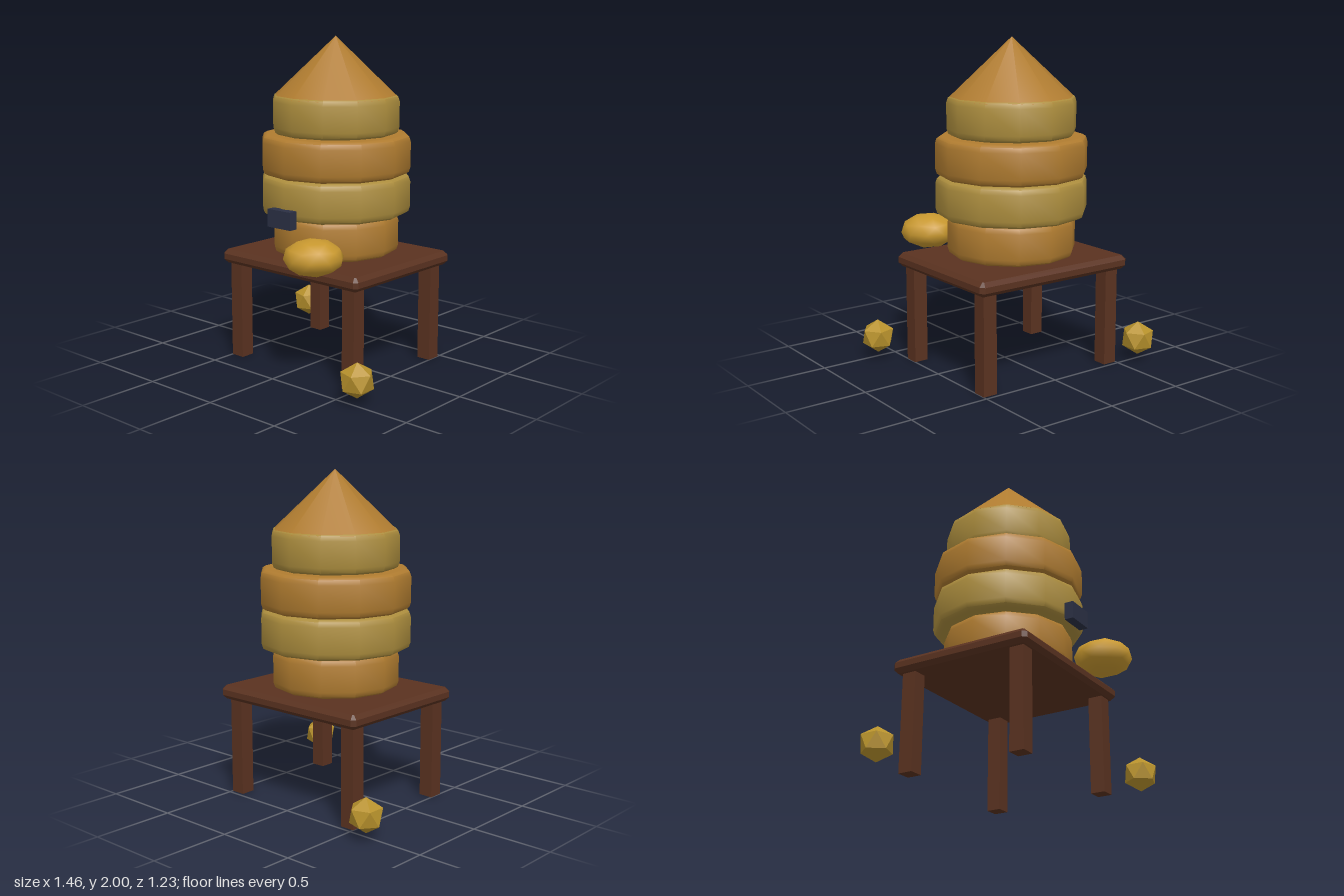
import * as THREE from 'three';
import { toCreasedNormals } from 'three/addons/utils/BufferGeometryUtils.js';

const HIVE_Z = -0.07;

const paint = (color, flatShading = false) => new THREE.MeshStandardMaterial({ color, flatShading });

function add(parent, name, geometry, material, x = 0, y = 0, z = 0) {
  const mesh = new THREE.Mesh(geometry, material);
  mesh.name = name;
  mesh.position.set(x, y, z);
  parent.add(mesh);
  return mesh;
}

// Twelve-sided drum with softly bevelled rims
function ringGeometry(r, h) {
  const half = [[0, 0], [r - 0.05, 0], [r - 0.03, 0], [r - 0.01, 0.012], [r, 0.042]];
  const profile = [...half, ...half.map(([x, y]) => [x, h - y]).reverse()];
  const lathe = new THREE.LatheGeometry(profile.map(([x, y]) => new THREE.Vector2(x, y)), 12);
  return toCreasedNormals(lathe, 0.75);
}

// Slab with every edge and corner chamfered
function slabGeometry(w, h, d, c) {
  const x = w / 2 - c, z = d / 2 - c, k = 0.008;
  const shape = new THREE.Shape([
    [x - k, -z], [x, -z + k], [x, z - k], [x - k, z],
    [-x + k, z], [-x, z - k], [-x, -z + k], [-x + k, -z],
  ].map(([a, b]) => new THREE.Vector2(a, b)));
  return new THREE.ExtrudeGeometry(shape, {
    depth: h - 2 * c, bevelEnabled: true, bevelThickness: c, bevelSize: c, bevelSegments: 1,
  }).translate(0, 0, c).rotateX(-Math.PI / 2);
}

// Icosphere standing on one of its corners
function icoGeometry(r, detail) {
  const tilt = Math.atan(2 / (1 + Math.sqrt(5)));
  return new THREE.IcosahedronGeometry(r, detail).rotateZ(tilt).rotateY(Math.PI);
}

export function createModel() {
  const model = new THREE.Group();
  model.name = 'beehiveOnTable';
  const wood = paint(0x5a3220);
  const amber = paint(0xb07c30);
  const straw = paint(0xad8e3e);
  const honey = paint(0xc8982f);
  const gold = paint(0xb8922c, true);
  const dark = paint(0x2b3044);

  // Table
  const table = new THREE.Group();
  table.name = 'table';
  model.add(table);
  add(table, 'tableTop', slabGeometry(1.09, 0.085, 0.905, 0.025), wood, 0, 0.6, HIVE_Z);
  for (const x of [-0.455, 0.455]) {
    for (const z of [-0.43, 0.3]) {
      add(table, 'tableLeg', new THREE.BoxGeometry(0.09, 0.61, 0.09), wood, x, 0.305, z);
    }
  }

  // Hive: stacked rings and pointed roof
  const hive = new THREE.Group();
  hive.name = 'hive';
  hive.position.z = HIVE_Z;
  model.add(hive);
  [0.39, 0.46, 0.46, 0.39].forEach((r, i) => {
    add(hive, 'hiveRing', ringGeometry(r, 0.238), i % 2 ? straw : amber, 0, 0.696 + i * 0.241, 0);
  });
  add(hive, 'hiveRoof', new THREE.ConeGeometry(0.382, 0.36, 12), amber, 0, 1.82, 0);

  // Entrance block on the front
  add(model, 'entrance', new THREE.BoxGeometry(0.18, 0.107, 0.056), dark, 0, 0.957, 0.406);

  // Honey drop resting on the table edge
  add(model, 'honeyDrop', icoGeometry(0.177, 1).scale(1, 0.61, 1), honey, 0.273, 0.777, 0.435);

  // Bees hovering by opposite corners
  add(model, 'bee', icoGeometry(0.106, 0), gold, -0.64, 0.141, -0.525);
  add(model, 'bee', icoGeometry(0.106, 0), gold, 0.635, 0.141, 0.475);

  return model;
}
